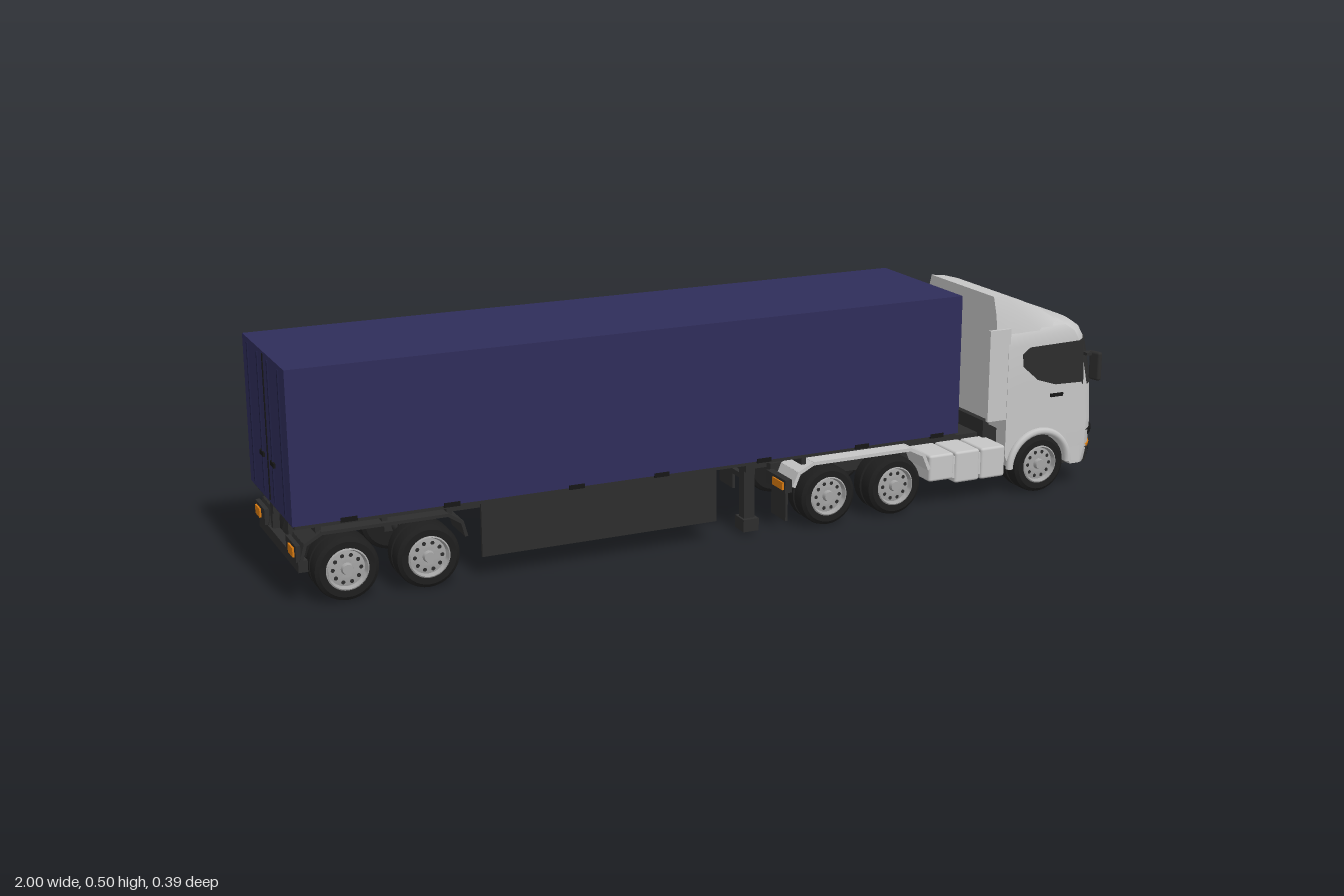
import * as THREE from 'three';
import { toCreasedNormals } from 'three/addons/utils/BufferGeometryUtils.js';
import { RoundedBoxGeometry } from 'three/addons/geometries/RoundedBoxGeometry.js';

const mat = (name, color, side = THREE.FrontSide) => {
  const m = new THREE.MeshStandardMaterial({ color, side });
  m.name = name;
  return m;
};

export function createModel() {
  const navy = mat('navy', 0x2f2d5a), light = mat('light grey', 0xc6c6c6), dark = mat('charcoal', 0x2d2d2d);
  const rubber = mat('rubber', 0x1e1e1e), steel = mat('wheel steel', 0xa4a4a4), orange = mat('amber', 0xd87a10);
  const black = mat('black trim', 0x161616), seamNavy = mat('seam navy', 0x201f42);
  const model = new THREE.Group();
  model.name = 'semiTrailerTruck';

  const add = (name, geo, m, parent = model) => {
    const mesh = new THREE.Mesh(geo, m);
    mesh.name = name;
    parent.add(mesh);
    return mesh;
  };
  // Box given by its limits on each axis
  const box = (name, m, x0, x1, y0, y1, z0, z1, round = 0) => {
    const s = [x1 - x0, y1 - y0, z1 - z0];
    const mesh = add(name, round ? new RoundedBoxGeometry(...s, 2, round) : new THREE.BoxGeometry(...s), m);
    mesh.position.set((x0 + x1) / 2, (y0 + y1) / 2, (z0 + z1) / 2);
    return mesh;
  };
  const pair = (name, m, x0, x1, y0, y1, z0, z1, round) => [
    box(name + 'Left', m, x0, x1, y0, y1, z0, z1, round), box(name + 'Right', m, x0, x1, y0, y1, -z1, -z0, round)];
  // Skin over a stack of rings; closed rings also get end caps
  const loft = (rings, closed = true, crease = 0.5) => {
    const n = rings[0].length, pos = [], idx = [];
    rings.forEach(r => r.forEach(p => pos.push(...p)));
    for (let i = 0; i < rings.length - 1; i++) for (let j = 0; j < (closed ? n : n - 1); j++) {
      const k = (j + 1) % n, a = i * n + j, b = i * n + k;
      idx.push(a, b, b + n, a, b + n, a + n);
    }
    if (closed) [0, rings.length - 1].forEach((i, end) => {
      const c = pos.length / 3;
      pos.push(...[0, 1, 2].map(q => rings[i].reduce((s, p) => s + p[q], 0) / n));
      for (let j = 0; j < n; j++) {
        const a = i * n + j, b = i * n + (j + 1) % n;
        idx.push(c, end ? a : b, end ? b : a);
      }
    });
    const g = new THREE.BufferGeometry();
    g.setAttribute('position', new THREE.Float32BufferAttribute(pos, 3));
    g.setIndex(idx);
    return toCreasedNormals(g, crease);
  };
  // Thin curved plate: a row of slabs along a path in x, y
  const strip = (name, m, pts, z0, z1, t) => pts.slice(1).forEach((p, i) => {
    const [ax, ay] = pts[i], dx = p[0] - ax, dy = p[1] - ay;
    for (const s of [1, -1]) {
      const b = add(name, new THREE.BoxGeometry(Math.hypot(dx, dy) + t * 0.5, t, z1 - z0), m);
      b.position.set(ax + dx / 2, ay + dy / 2, s * (z0 + z1) / 2);
      b.rotation.z = Math.atan2(dy, dx);
    }
  });

  // Trailer box, floor and frame
  box('trailerBox', navy, -1, 0.575, 0.178, 0.505, -0.175, 0.175);
  box('trailerFloor', dark, -0.995, 0.57, 0.17, 0.178, -0.172, 0.172);
  pair('trailerRail', dark, -0.985, 0.45, 0.135, 0.172, 0.05, 0.065);
  for (let x = -0.95; x < 0.2; x += 0.14) box('crossMember', dark, x, x + 0.012, 0.15, 0.172, -0.16, 0.16);
  pair('sideSkirt', dark, -0.595, -0.045, 0.048, 0.175, 0.155, 0.163);
  for (const x of [-0.9, -0.68, -0.4, -0.2, 0.05, 0.3, 0.5])
    pair('sideClip', black, x, x + 0.035, 0.174, 0.184, 0.172, 0.177);
  // Rear doors, lights and underrun bar
  box('doorSeam', black, -1.002, -0.998, 0.185, 0.5, -0.002, 0.002);
  for (const z of [0.04, 0.125]) pair('lockRod', seamNavy, -1.003, -0.997, 0.19, 0.495, z, z + 0.006);
  pair('lockHandle', black, -1.004, -0.998, 0.27, 0.28, 0.03, 0.06);
  box('underrunBar', dark, -0.99, -0.97, 0.075, 0.1, -0.165, 0.165);
  pair('underrunPost', dark, -0.985, -0.97, 0.09, 0.172, 0.06, 0.075);
  pair('rearLampPanel', dark, -0.995, -0.985, 0.1, 0.135, 0.09, 0.17);
  pair('trailerTailLight', orange, -0.999, -0.993, 0.108, 0.128, 0.12, 0.158);
  // Landing legs
  pair('landingLeg', dark, 0.035, 0.062, 0.03, 0.175, 0.115, 0.14);
  pair('landingFoot', dark, 0.03, 0.068, 0.006, 0.035, 0.105, 0.15);
  box('landingBrace', dark, 0.043, 0.055, 0.12, 0.132, -0.12, 0.12);
  // Cooling unit on the trailer nose
  box('coolingUnit', dark, 0.575, 0.605, 0.295, 0.478, -0.115, 0.115, 0.006);
  box('coolingUnitCover', light, 0.575, 0.609, 0.31, 0.481, -0.108, 0.108, 0.006);

  // Tractor chassis
  pair('chassisRail', dark, 0.14, 0.94, 0.085, 0.13, 0.045, 0.065);
  box('catwalk', dark, 0.5, 0.72, 0.125, 0.135, -0.065, 0.065);
  box('engineBlock', dark, 0.7, 0.95, 0.065, 0.17, -0.09, 0.09);
  for (const x of [0.25, 0.5]) box('chassisTie', dark, x, x + 0.03, 0.09, 0.125, -0.05, 0.05);
  const coupling = add('couplingPlate', new THREE.CylinderGeometry(0.075, 0.085, 0.035, 24), dark);
  coupling.position.set(0.32, 0.152, 0);
  for (let i = 0; i < 3; i++) {
    const x = 0.505 + i * 0.071;
    pair('sideTank', light, x, x + 0.067, 0.052 + (i === 0 ? 0.012 : 0), 0.128, 0.07, 0.168, 0.006);
  }
  pair('tankStrap', light, 0.51, 0.712, 0.065, 0.118, 0.075, 0.164);
  strip('tractorFender', light, [[0.145, 0.105], [0.158, 0.135], [0.195, 0.153], [0.45, 0.153], [0.485, 0.135], [0.5, 0.1]], 0.09, 0.174, 0.008);
  strip('trailerFender', dark, [[-0.985, 0.1], [-0.975, 0.135], [-0.94, 0.155], [-0.67, 0.155], [-0.64, 0.135], [-0.632, 0.105]], 0.085, 0.172, 0.007);
  pair('mudFlap', dark, 0.125, 0.131, 0.025, 0.12, 0.1, 0.17);
  pair('tractorLampPanel', dark, 0.123, 0.14, 0.092, 0.122, 0.08, 0.172);
  pair('tractorTailLight', orange, 0.119, 0.125, 0.098, 0.116, 0.115, 0.165);

  // Cab shell: [y, rear x, front x, half width], with a bowed nose
  const noseX = (xf, s) => xf - 0.05 * Math.pow(Math.abs(s), 5);
  const spread = Array.from({ length: 25 }, (_, i) => 1 - i / 12);
  const plan = ([y, xr, xf, hw]) => [...spread.map(s => Math.sin(s * Math.PI / 2)).map(s => [noseX(xf, s), y, hw * s]),
    [xr, y, -hw], [xr, y, hw]];
  const levels = [[0.16, 0.715, 0.995, 0.165], [0.25, 0.715, 0.988, 0.165], [0.365, 0.715, 0.963, 0.165],
    [0.388, 0.715, 0.951, 0.162], [0.404, 0.715, 0.928, 0.156], [0.414, 0.715, 0.885, 0.146]];
  add('cabShell', loft(levels.map(plan)), light);
  add('bumper', loft([[0.056, 0.905, 0.983, 0.163], [0.1, 0.892, 0.992, 0.165], [0.162, 0.885, 0.995, 0.165]].map(plan)), light);
  // Lower cab sides cut by the wheel arch
  const side = new THREE.Shape();
  side.moveTo(0.715, 0.165);
  side.lineTo(0.715, 0.1);
  side.lineTo(0.728, 0.07);
  side.absarc(0.81, 0.07, 0.082, Math.PI, 0, true);
  side.lineTo(0.93, 0.06);
  side.lineTo(0.93, 0.165);
  for (const s of [1, -1]) {
    const panel = add('lowerCabSide', new THREE.ExtrudeGeometry(side, { depth: 0.04, bevelEnabled: false, curveSegments: 20 }), light);
    panel.position.z = s > 0 ? 0.125 : -0.165;
    const flare = add('wheelArchFlare', new THREE.TorusGeometry(0.083, 0.009, 8, 24, Math.PI), light);
    flare.position.set(0.81, 0.068, s * 0.168);
  }
  // Roof deflector: [x, top y, top half width]
  add('roofDeflector', loft([[0.685, 0.485, 0.138], [0.72, 0.481, 0.138], [0.76, 0.47, 0.138], [0.81, 0.448, 0.137], [0.86, 0.42, 0.132], [0.885, 0.405, 0.13]]
    .map(([x, t, w]) => [[x, t, -w], [x, t, w], [x, (t + 0.405) / 2, w + 0.013], [x, 0.39, 0.16],
      [x, 0.39, -0.16], [x, (t + 0.405) / 2, -w - 0.013]])), light);
  pair('sideDeflector', light, 0.663, 0.72, 0.19, 0.41, 0.155, 0.164);

  // Thin trim following the nose
  const frontAt = y => {
    const p = [[0.056, 0.983], [0.1, 0.992], [0.16, 0.995], [0.25, 0.988], [0.365, 0.963]];
    const i = Math.max(0, Math.min(3, p.findIndex(q => q[0] >= y) - 1));
    return p[i][1] + (p[i + 1][1] - p[i][1]) * (y - p[i][0]) / (p[i + 1][0] - p[i][0]);
  };
  const trim = (name, m, y0, y1, s0, s1, off) => {
    const ring = (y, o) => Array.from({ length: 25 }, (_, i) => {
      const s = s1 + (s0 - s1) * Math.sin(i / 24 * Math.PI - Math.PI / 2) / 2 + (s0 - s1) / 2;
      return [noseX(frontAt(y), s) + o, y, s * (0.165 + o * 0.5)];
    });
    add(name, loft([ring(y0, 0), ring(y0, off), ring(y1, off), ring(y1, 0)], false), m);
  };
  trim('windscreen', dark, 0.253, 0.363, -1, 1, 0.003);
  trim('grille', dark, 0.14, 0.215, -0.67, 0.67, 0.003);
  for (let i = 0; i < 6; i++) trim('grilleSlat', black, 0.15 + i * 0.011, 0.153 + i * 0.011, -0.6, 0.6, 0.005);
  trim('bumperStrip', black, 0.126, 0.138, -1, 1, 0.005);
  trim('bumperCentre', dark, 0.088, 0.126, -0.65, 0.65, 0.004);
  trim('indicatorStrip', orange, 0.093, 0.1, -0.98, 0.98, 0.003);
  trim('lowerBumper', dark, 0.057, 0.093, -0.99, 0.99, 0.004);
  trim('airSlot', black, 0.068, 0.076, -0.4, 0.4, 0.006);
  trim('fogLampLeft', black, 0.067, 0.083, 0.7, 0.9, 0.006);
  trim('fogLampRight', black, 0.067, 0.083, -0.9, -0.7, 0.006);
  box('cabUnderside', dark, 0.89, 0.965, 0.052, 0.057, -0.14, 0.14);

  // Side windows, handles and mirrors
  const pane = new THREE.Shape([[0.757, 0.315], [0.755, 0.345], [0.775, 0.36], [0.925, 0.363], [0.945, 0.253],
    [0.925, 0.26], [0.85, 0.262], [0.8, 0.278]].map(p => new THREE.Vector2(Math.min(p[0], 0.93), p[1])));
  for (const s of [1, -1]) {
    const win = add('sideWindow', new THREE.ExtrudeGeometry(pane, { depth: 0.004, bevelEnabled: false }), dark);
    win.position.z = s > 0 ? 0.163 : -0.167;
    const mirror = add('mirror', new RoundedBoxGeometry(0.014, 0.07, 0.032, 2, 0.006), dark);
    mirror.position.set(0.953, 0.3, s * 0.18);
    mirror.rotation.y = s * 0.25;
  }
  pair('doorHandle', black, 0.837, 0.872, 0.232, 0.24, 0.162, 0.169);
  pair('mirrorArm', dark, 0.93, 0.956, 0.325, 0.332, 0.155, 0.175);

  // Wheels: grooved tyre, dished rim, hub and vent holes
  const lathe = pts => toCreasedNormals(new THREE.LatheGeometry(pts.map(p => new THREE.Vector2(...p)), 36).rotateX(Math.PI / 2), 0.6);
  const tyreGeo = lathe([[0.02, -0.04], [0.06, -0.04], [0.068, -0.034], [0.07, -0.026], [0.07, -0.004], [0.065, -0.002],
    [0.065, 0.002], [0.07, 0.004], [0.07, 0.026], [0.068, 0.034], [0.06, 0.04], [0.046, 0.039], [0.043, 0.024]]);
  const rimGeo = lathe([[0.043, 0.022], [0.046, 0.039], [0.043, 0.041], [0.039, 0.03], [0.022, 0.033], [0.018, 0.033], [0, 0.033]].reverse());
  rimGeo.computeBoundingBox();
  steel.side = rubber.side = THREE.DoubleSide;
  for (const x of [-0.89, -0.715, 0.235, 0.41, 0.81]) {
    const axle = add('axle', new THREE.CylinderGeometry(0.014, 0.014, 0.24, 12), dark);
    axle.rotation.x = Math.PI / 2;
    axle.position.set(x, 0.07, 0);
    if (x < 0.8) pair('suspension', dark, x - 0.03, x + 0.03, 0.06, 0.14, 0.05, 0.062);
    for (const s of [1, -1]) {
      const wheel = new THREE.Group();
      wheel.name = 'wheel';
      wheel.position.set(x, 0.07, s * 0.134);
      wheel.rotation.y = s > 0 ? 0 : Math.PI;
      add('tyre', tyreGeo, rubber, wheel);
      add('rim', rimGeo, steel, wheel);
      const hub = add('hub', new THREE.CylinderGeometry(0.011, 0.014, 0.012, 16), steel, wheel);
      hub.rotation.x = Math.PI / 2;
      hub.position.z = 0.036;
      for (let i = 0; i < 10; i++) {
        const a = i * Math.PI / 5, hole = add('ventHole', new THREE.CircleGeometry(0.0045, 10), dark, wheel);
        hole.position.set(0.03 * Math.cos(a), 0.03 * Math.sin(a), 0.0335);
      }
      model.add(wheel);
    }
  }
  return model;
}
